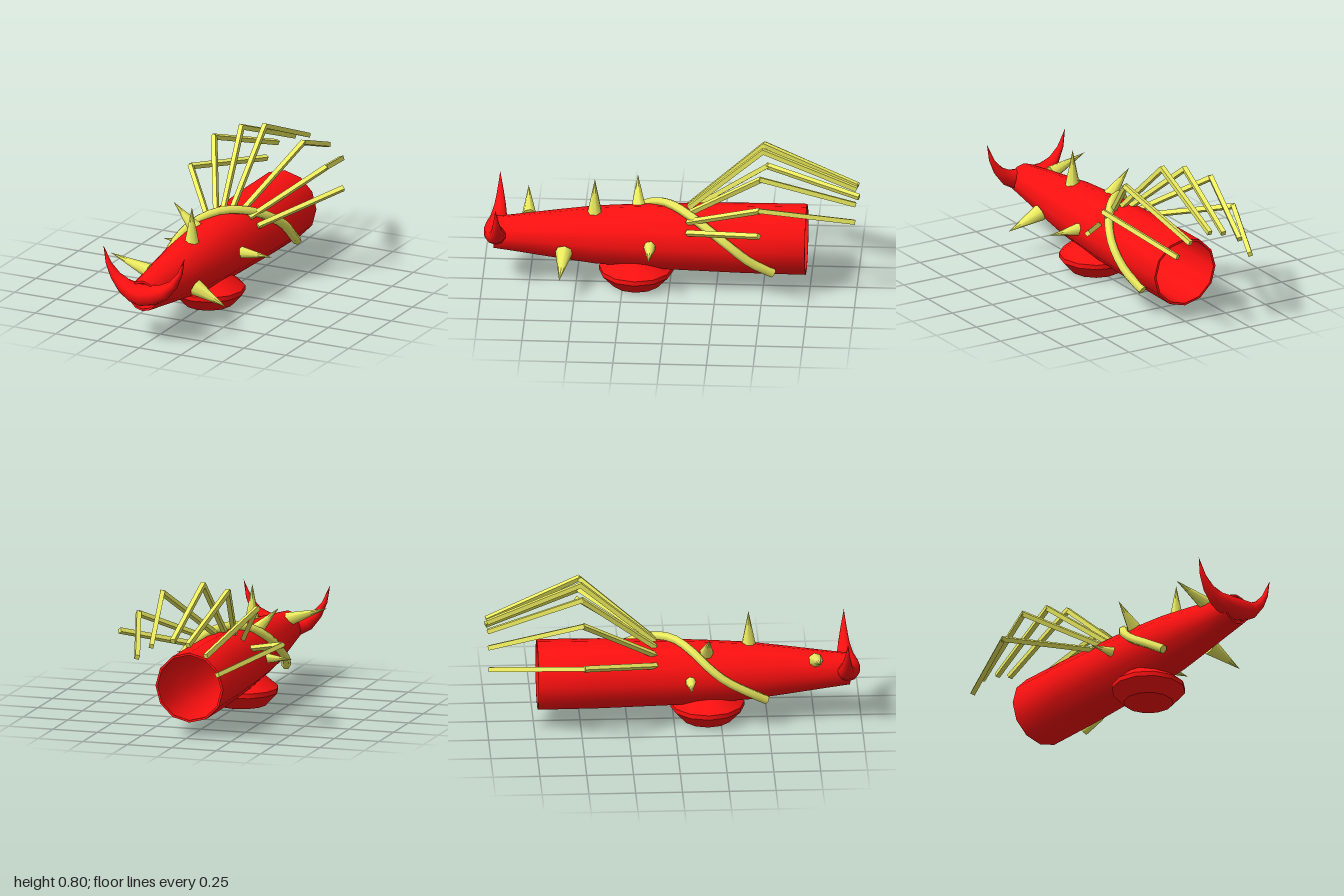
import * as THREE from 'three';
import { toCreasedNormals } from 'three/addons/utils/BufferGeometryUtils.js';

const V = (p) => new THREE.Vector3(...p);
const UP = new THREE.Vector3(0, 1, 0);

export function createModel() {
  const group = new THREE.Group();
  const red = new THREE.MeshStandardMaterial({ color: 0xff1010, side: THREE.DoubleSide });
  const yellow = new THREE.MeshStandardMaterial({ color: 0xeeee60 });

  const add = (name, geometry, material, position = [0, 0, 0]) => {
    const mesh = new THREE.Mesh(geometry, material);
    mesh.name = name;
    mesh.position.set(...position);
    group.add(mesh);
    return mesh;
  };

  // Place a y-aligned geometry so that it runs from a to b
  const span = (name, a, b, makeGeometry) => {
    const from = V(a), to = V(b), dir = to.clone().sub(from);
    const mesh = add(name, makeGeometry(dir.length()), yellow);
    mesh.position.copy(from).add(to).multiplyScalar(0.5);
    mesh.quaternion.setFromUnitVectors(UP, dir.normalize());
    return mesh;
  };

  // Hollow body, open at both ends: inner wall forward to back, then outer wall
  const wall = [[0.19, -0.73], [0.188, -0.4], [0.178, 0], [0.168, 0.2], [0.155, 0.4],
    [0.13, 0.6], [0.103, 0.8], [0.085, 0.94]];
  const inner = wall.map(([r, z]) => [r - 0.012, z]).reverse();
  const profile = [...inner, ...wall, inner[0]].map(([r, z]) => new THREE.Vector2(r, z));
  const bodyGeometry = new THREE.LatheGeometry(profile, 12).rotateX(Math.PI / 2);
  add('body', toCreasedNormals(bodyGeometry, 0.8), red, [-0.01, 0.273, 0]);

  // Foot under the body
  const footProfile = [[0, 0], [0.133, 0], [0.198, 0.07], [0.198, 0.095], [0.115, 0.165], [0, 0.165]]
    .map(([r, y]) => new THREE.Vector2(r, y));
  add('foot', toCreasedNormals(new THREE.LatheGeometry(footProfile, 12), 0.55), red, [-0.003, 0, 0.18]);

  // Crescent jaw: lower edge, upper edge, back and front depth from centre to tip
  const half = [
    [0, 0.215, 0, 0.335, 0.865, 0.998],
    [0.07, 0.23, 0.05, 0.338, 0.87, 0.988],
    [0.14, 0.27, 0.1, 0.346, 0.875, 0.965],
    [0.195, 0.34, 0.15, 0.37, 0.885, 0.948],
    [0.228, 0.42, 0.197, 0.42, 0.9, 0.935],
    [0.243, 0.515, 0.243, 0.515, 0.92, 0.92],
  ];
  const sides = 10, positions = [], index = [];
  for (let s = -5; s <= 5; s++) {
    const [ox, oy, ix, iy, zb, zf] = half[Math.abs(s)];
    const m = Math.sign(s);
    for (let j = 0; j < sides; j++) {
      const a = (j / sides) * Math.PI * 2, c = Math.cos(a) / 2, d = Math.sin(a) / 2;
      positions.push(m * ((ox + ix) / 2 + c * (ox - ix)), (oy + iy) / 2 + c * (oy - iy),
        (zb + zf) / 2 + d * (zf - zb));
      if (s < 5) {
        const p = (s + 5) * sides + j, q = (s + 5) * sides + (j + 1) % sides;
        index.push(p, p + sides, q, q, p + sides, q + sides);
      }
    }
  }
  const jaw = new THREE.BufferGeometry();
  jaw.setAttribute('position', new THREE.Float32BufferAttribute(positions, 3));
  jaw.setIndex(index);
  jaw.computeVertexNormals();
  add('crescentJaw', jaw, red, [-0.012, 0, 0]);

  // Spikes: base centre, tip, base radius
  const spikes = [
    [[0.01, 0.41, 0.4], [0.01, 0.61, 0.4], 0.04],
    [[0.14, 0.283, 0.1], [0.335, 0.283, 0.097], 0.036],
    [[-0.15, 0.283, 0.083], [-0.32, 0.283, 0.083], 0.034],
    [[0.115, 0.225, 0.56], [0.305, 0.145, 0.575], 0.047],
    [[-0.07, 0.35, 0.755], [-0.288, 0.422, 0.77], 0.04],
    [[-0.08, 0.4, 0.17], [-0.21, 0.537, 0.182], 0.042],
  ];
  for (const [base, tip, r] of spikes) span('spike', base, tip, (h) => new THREE.ConeGeometry(r, h, 7));

  // Tube wrapped diagonally over the back, with capped ends
  const wrap = [[0.15, 0.145, -0.56], [0.185, 0.22, -0.44], [0.19, 0.32, -0.32], [0.145, 0.4, -0.2],
    [0.07, 0.45, -0.09], [-0.02, 0.463, 0.01], [-0.11, 0.425, 0.1], [-0.17, 0.36, 0.18],
    [-0.19, 0.29, 0.27], [-0.18, 0.22, 0.39], [-0.15, 0.16, 0.49]].map(V);
  const curve = new THREE.CatmullRomCurve3(wrap);
  add('wrappedTube', new THREE.TubeGeometry(curve, 24, 0.025, 6), yellow);
  for (const t of [0, 1]) {
    const cap = add('tubeCap', new THREE.CircleGeometry(0.025, 6), yellow);
    cap.position.copy(curve.getPoint(t));
    const out = curve.getTangent(t).multiplyScalar(t ? 1 : -1);
    cap.quaternion.setFromUnitVectors(new THREE.Vector3(0, 0, 1), out);
  }

  // Jointed rods fanned over the back: root, knee, tip (the last rod has no outer part)
  const rods = [
    [[-0.15, 0.37], [-0.455, 0.49], [-0.255, 0.412]],
    [[-0.1, 0.41], [-0.315, 0.68], [-0.19, 0.51]],
    [[-0.055, 0.44], [-0.15, 0.762], [-0.09, 0.562]],
    [[0, 0.45], [-0.01, 0.79], [-0.005, 0.58]],
    [[0.055, 0.44], [0.22, 0.732], [0.115, 0.545]],
    [[0.1, 0.41], [0.355, 0.61], [0.195, 0.48]],
    [[0.15, 0.37], [0.458, 0.508]],
  ];
  const bar = (h) => new THREE.BoxGeometry(0.025, h, 0.025);
  for (const [root, knee, tip] of rods) {
    span('innerRod', [...root, -0.1], [...knee, -0.5], bar);
    if (tip) span('outerRod', [...knee, -0.49], [...tip, -0.997], bar);
  }

  return group;
}
